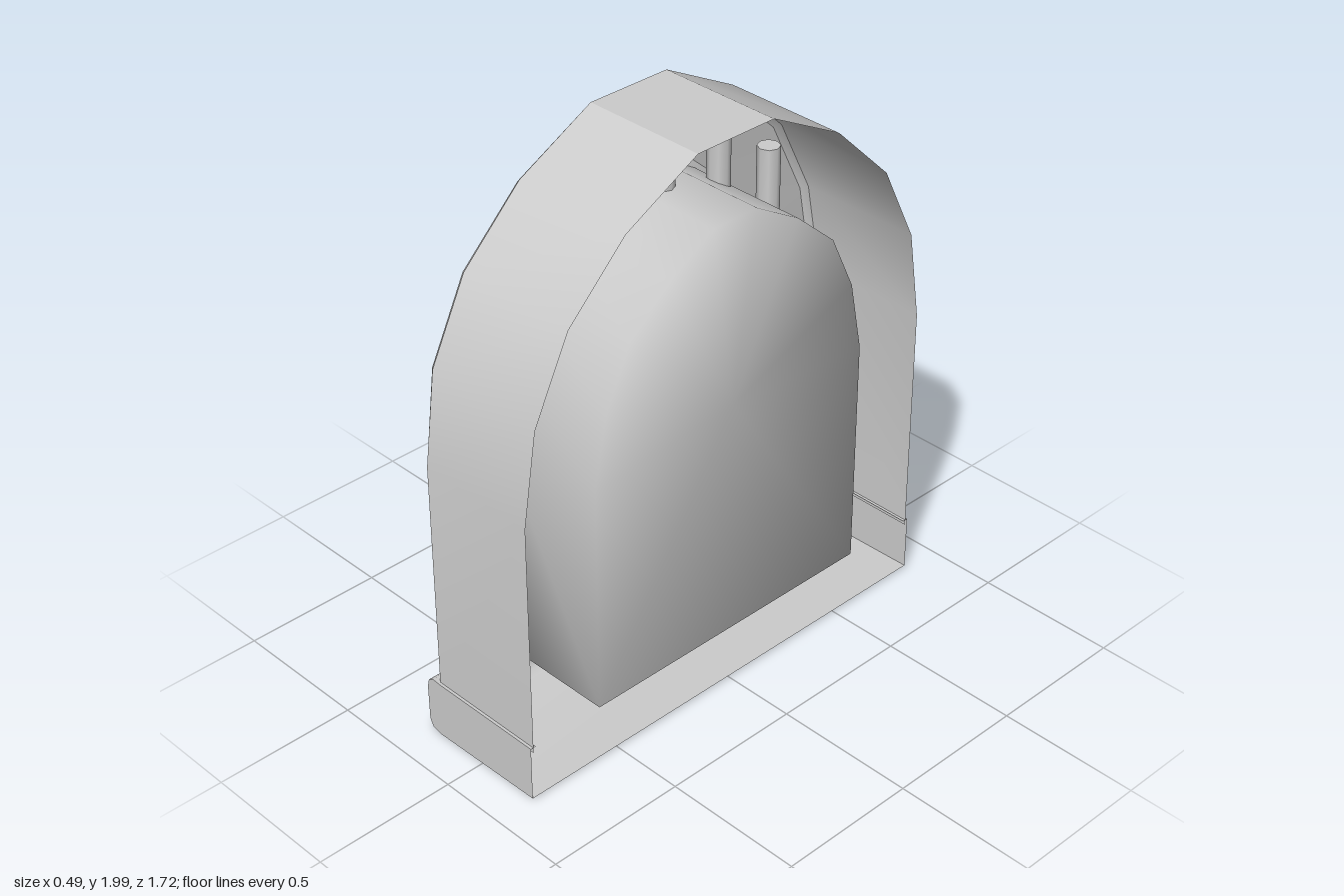
import * as THREE from 'three';
import { toCreasedNormals } from 'three/addons/utils/BufferGeometryUtils.js';

const material = new THREE.MeshStandardMaterial({ color: 0xcccccc, side: THREE.DoubleSide });

// Half arches as [z, y], from the foot to the crown
const OUTER = [[0.85, 0.19], [0.85, 1.03], [0.8, 1.35], [0.665, 1.625], [0.44, 1.845], [0.155, 1.995]];
const INNER = [[0.575, 0.21], [0.575, 1.03], [0.525, 1.28], [0.43, 1.48], [0.27, 1.62], [0.09, 1.725]];

// Full arch at depth x, grown (or shrunk) by a margin, leaning forward a little near the top
function arch(half, x, grow = 0, lean = 0) {
  const side = half.map(([z, y], i) => {
    const t = i / (half.length - 1);
    return [x - (y > 1.3 ? lean : 0), y + grow * t, z + grow * (1 - t * 0.6)];
  });
  const mirrored = side.map(([px, y, z]) => [px, y, -z]).reverse();
  return [...side, ...mirrored];
}

// Skin between rows of equally many points
function loft(rows, closed) {
  const n = rows[0].length;
  const index = [];
  for (let r = 0; r < rows.length - 1; r++) {
    for (let i = 0; i < (closed ? n : n - 1); i++) {
      const a = r * n + i;
      const b = r * n + (i + 1) % n;
      index.push(a, a + n, b, b, a + n, b + n);
    }
  }
  const geometry = new THREE.BufferGeometry();
  geometry.setAttribute('position', new THREE.Float32BufferAttribute(rows.flat(2), 3));
  geometry.setIndex(index);
  geometry.computeVertexNormals();
  return geometry;
}

export function createModel() {
  const group = new THREE.Group();
  const add = (name, geometry) => {
    const mesh = new THREE.Mesh(geometry, material);
    mesh.name = name;
    group.add(mesh);
    return mesh;
  };

  // Hollow arched surround: outer wall, bevel, front face, inner bevel
  const frame = loft([
    arch(OUTER, 0.24),
    arch(OUTER, -0.2, 0, 0.01),
    arch(OUTER, -0.222, -0.022, 0.01),
    arch(INNER, -0.222, 0.022, 0.01),
    arch(INNER, -0.195, 0, 0.01),
  ], false);
  add('archFrame', toCreasedNormals(frame, 0.45));

  // Recess behind the bars, closed by a softly shaded back panel
  const rim = arch(INNER, 0.24);
  add('recess', loft([
    arch(INNER, -0.195, 0, 0.01),
    rim,
    rim.map(() => [0.24, 1.07, 0]),
  ], true));

  // Sill: rounded shell, open to the back
  const profile = [[0.24, 0.012], [-0.2, 0.004], [-0.235, 0.012], [-0.25, 0.04],
    [-0.252, 0.17], [-0.245, 0.2], [-0.225, 0.213], [-0.19, 0.21]];
  const sillRow = (z) => profile.map(([x, y]) => [x, y, z]);
  add('sill', toCreasedNormals(loft([sillRow(-0.86), sillRow(0.86)], false), 0.9));
  const endShape = new THREE.Shape([...profile, [0.24, 0.21]].map(([x, y]) => new THREE.Vector2(x, y)));
  for (const z of [-0.86, 0.86]) {
    add('sillEnd', new THREE.ShapeGeometry(endShape)).position.z = z;
    // Narrow ledge joining the sill end to the wall
    const ledge = add('sillLedge', new THREE.PlaneGeometry(0.43, 0.02).rotateX(-Math.PI / 2));
    ledge.position.set(0.025, 0.21, Math.sign(z) * 0.85);
  }
  // Sill top under the feet of the arch
  for (const s of [-1, 1]) {
    const top = add('sillTop', new THREE.PlaneGeometry(0.03, 0.28).rotateX(-Math.PI / 2));
    top.position.set(-0.205, 0.21, s * 0.715);
  }

  // Upright bars
  for (const [z, top] of [[0.45, 1.695], [0.235, 1.695], [0.015, 1.865], [-0.22, 1.865], [-0.44, 1.695]]) {
    const bar = new THREE.CylinderGeometry(0.038, 0.038, top - 0.12, 8);
    add('bar', toCreasedNormals(bar, 0.9)).position.set(-0.05, (top + 0.12) / 2, z);
  }
  return group;
}
